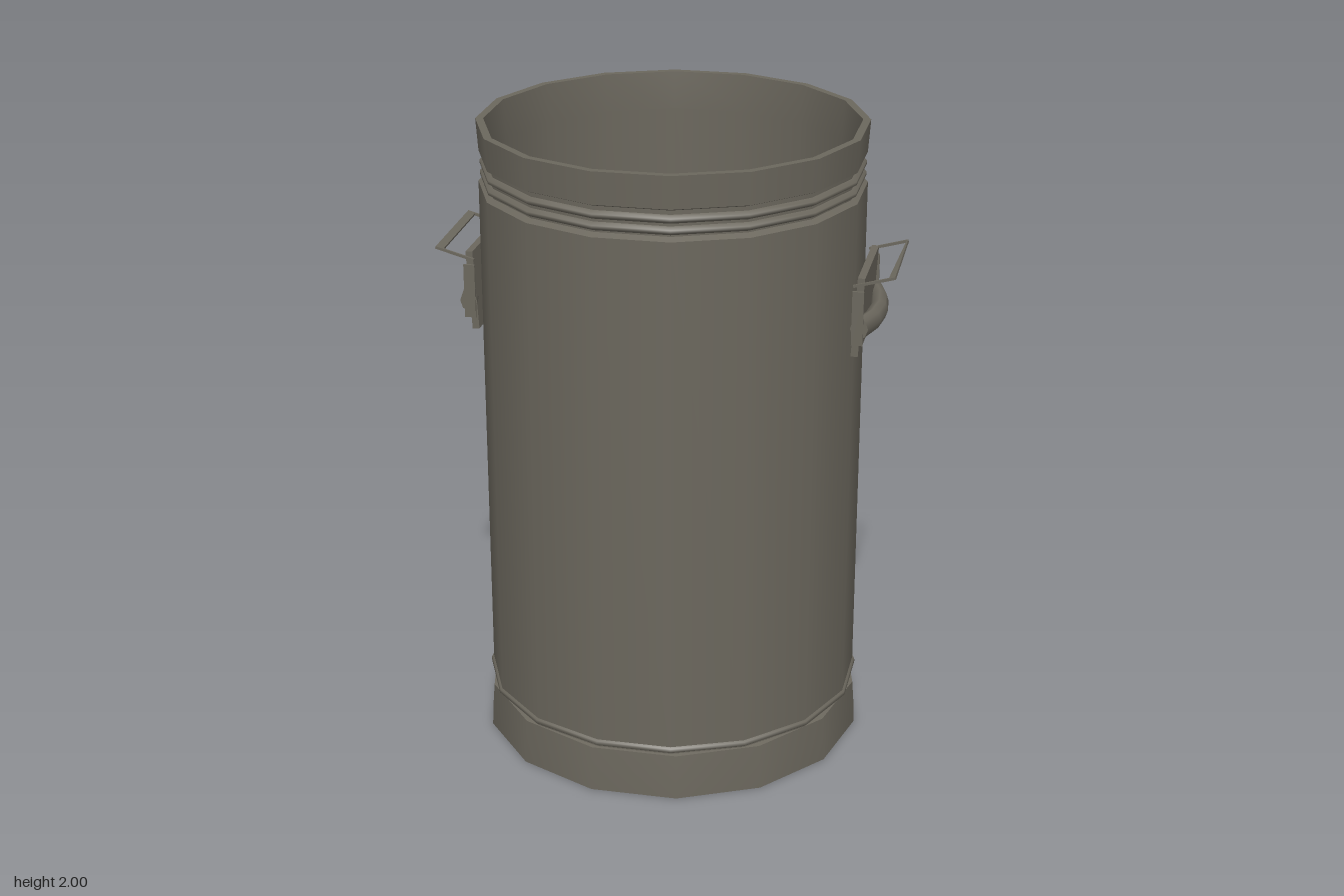
import * as THREE from 'three';

const metal = new THREE.MeshStandardMaterial({ color: 0x6b675d });
metal.name = 'dull grey metal';

function add(parent, name, geometry) {
  const mesh = new THREE.Mesh(geometry, metal);
  mesh.name = name;
  parent.add(mesh);
  return mesh;
}

// One smooth surface of revolution; profile points are [radius, height]
function ring(parent, name, profile, sides = 16) {
  const points = profile.map(([r, y]) => new THREE.Vector2(r, y));
  return add(parent, name, new THREE.LatheGeometry(points, sides, Math.PI / sides));
}

// Handle on the +x side: backing plate, bulging grip, end brackets and folded wire loop
function makeHandle(name, reach, barStart, barEnd) {
  const handle = new THREE.Group();
  handle.name = name;

  const plate = add(handle, 'handlePlate', new THREE.BoxGeometry(0.022, 0.25, 0.32));
  plate.position.set(0.598, 1.465, 0);
  plate.rotation.z = -0.06;

  // Grip bar pushed outward in the middle
  const grip = new THREE.CylinderGeometry(0.034, 0.034, 0.36, 8, 4);
  grip.rotateX(Math.PI / 2);
  const pos = grip.attributes.position;
  for (let i = 0; i < pos.count; i++) {
    const t = Math.abs(pos.getZ(i)) / 0.18;
    pos.setX(i, pos.getX(i) * 0.8 + (reach - 0.03) * (1 - t * t) + 0.605 * t * t);
    pos.setY(i, pos.getY(i) + 1.437);
  }
  grip.computeVertexNormals();
  add(handle, 'grip', grip);

  for (const z of [-0.18, 0.18]) {
    add(handle, 'gripBracket', new THREE.BoxGeometry(0.035, 0.17, 0.008)).position.set(0.6, 1.47, z);
  }

  // Flat U-shaped loop sloping up and out from the plate
  const loop = new THREE.Shape();
  const outline = [
    [0, -0.184], [0.125, -0.184], [0.13, 0.184], [0, 0.184], [0, 0.177],
    [0.13 - barEnd, 0.177], [0.125 - barStart, -0.177], [0, -0.177],
  ];
  outline.forEach(([x, z], i) => (i ? loop.lineTo(x, -z) : loop.moveTo(x, -z)));
  loop.closePath();
  const wire = new THREE.ExtrudeGeometry(loop, { depth: 0.008, bevelEnabled: false });
  wire.rotateX(-Math.PI / 2);
  const bail = add(handle, 'wireLoop', wire);
  bail.position.set(0.585, 1.567, 0);
  bail.rotation.z = 0.27;
  return handle;
}

export function createModel() {
  const can = new THREE.Group();
  can.name = 'metalCan';

  // Base skirt with its ledge and underside
  ring(can, 'baseSkirt', [[0.607, 0], [0.604, 0.07], [0.598, 0.145]], 14);
  ring(can, 'baseLedge', [[0.598, 0.145], [0.575, 0.15]], 14);
  ring(can, 'underside', [[0, 0], [0.607, 0]], 14);
  ring(can, 'baseBead', [[0.588, 0.15], [0.6, 0.16], [0.598, 0.17], [0.586, 0.178]]);

  // Main wall
  ring(can, 'bodyWall', [[0.592, 0.15], [0.592, 1.805]]);
  ring(can, 'shoulder', [[0.592, 1.805], [0.572, 1.815]]);

  // Grooved neck with two raised beads
  ring(can, 'neck', [[0.572, 1.81], [0.572, 1.905]]);
  for (const y of [1.833, 1.867]) {
    ring(can, 'neckBead', [[0.57, y - 0.014], [0.587, y - 0.005], [0.587, y + 0.005], [0.57, y + 0.014]]);
  }

  // Rim band
  ring(can, 'rimUnderside', [[0.57, 1.892], [0.589, 1.9]]);
  ring(can, 'rimBand', [[0.589, 1.9], [0.596, 2]]);
  ring(can, 'rimTop', [[0.596, 2], [0.572, 2]]);

  // Inside wall and floor
  ring(can, 'insideWall', [[0.572, 2], [0.565, 1.88], [0.565, 0.03]]);
  ring(can, 'insideFloor', [[0.565, 0.03], [0, 0.03]]);

  // Side handles
  can.add(makeHandle('leftHandle', 0.672, 0.004, 0.02));
  const right = makeHandle('rightHandle', 0.655, 0.025, 0.025);
  right.rotation.y = Math.PI;
  can.add(right);

  return can;
}
